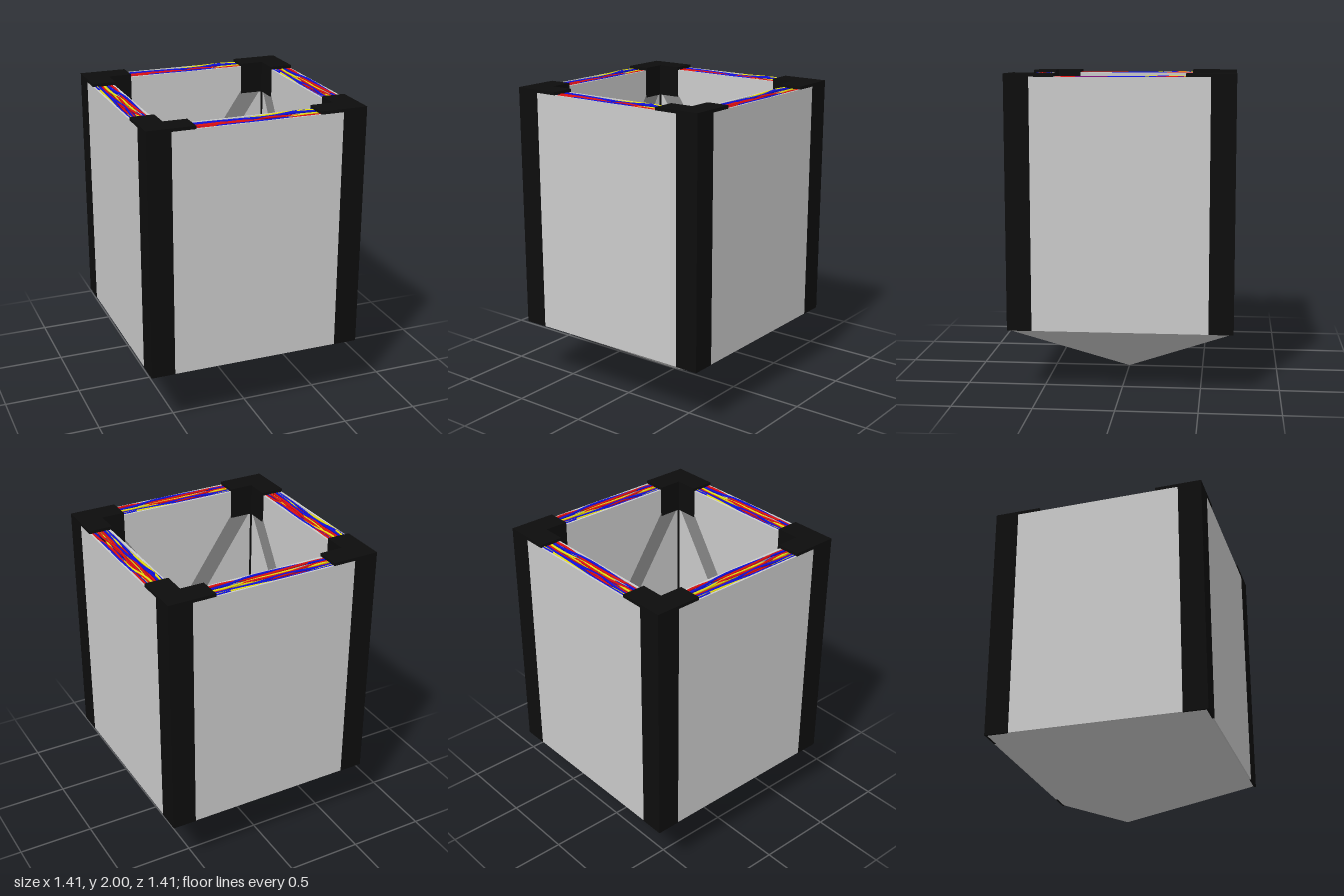
import * as THREE from 'three';

const grey = new THREE.MeshStandardMaterial({ color: 0xcccccc });
const greyThin = new THREE.MeshStandardMaterial({ color: 0xcccccc, side: THREE.DoubleSide, flatShading: true });
const brace = new THREE.MeshStandardMaterial({ color: 0x878787, side: THREE.DoubleSide });
const black = new THREE.MeshStandardMaterial({ color: 0x0d0d0d });
const wireMaterials = [0xe8e010, 0x1010e0, 0xe01010].map(color => new THREE.MeshStandardMaterial({ color }));

const BASE = 0.405, RIM = 1.98, TOP = 2;

function add(parent, name, geometry, material, x = 0, y = 0, z = 0) {
  const mesh = new THREE.Mesh(geometry, material);
  mesh.name = name;
  mesh.position.set(x, y, z);
  parent.add(mesh);
  return mesh;
}

function polygon(points) {
  return new THREE.Shape(points.map(([x, y]) => new THREE.Vector2(x, y)));
}

// L-shaped slab lying flat, running from y0 to y1
function angleSlab(inner, outer, reach, y0, y1) {
  const shape = polygon([
    [outer, outer], [reach, outer], [reach, inner],
    [inner, inner], [inner, reach], [outer, reach],
  ]);
  const geometry = new THREE.ExtrudeGeometry(shape, { depth: y1 - y0, bevelEnabled: false });
  return geometry.rotateX(-Math.PI / 2).translate(0, y0, 0);
}

function seeded(seed) {
  return () => (seed = (seed * 16807) % 2147483647) / 2147483647;
}

// Bundle of gently crossing wires along x, centred on the cavity
function makeWires() {
  const group = new THREE.Group();
  group.name = 'wireBundle';
  const random = seeded(4211);
  const colours = [0, 1, 1, 2, 2, 0, 2, 1];
  for (let layer = 0; layer < 3; layer++) {
    for (let i = 0; i < 8; i++) {
      const points = [];
      for (let k = 0; k <= 5; k++) {
        const z = -0.051 + i * 0.0146 + (random() - 0.5) * 0.036;
        points.push(new THREE.Vector3(
          -0.54 + k * 0.216,
          1.972 - layer * 0.018 + (random() - 0.5) * 0.016,
          THREE.MathUtils.clamp(z, -0.053, 0.053)));
      }
      const path = new THREE.CatmullRomCurve3(points);
      add(group, 'wire', new THREE.TubeGeometry(path, 24, 0.0075, 6), wireMaterials[colours[(i + layer * 3) % 8]]);
    }
  }
  return group;
}

export function createModel() {
  const model = new THREE.Group();

  // Four double walls with crossed braces on the inside
  const height = RIM - BASE, middle = (RIM + BASE) / 2;
  const outerPanel = new THREE.BoxGeometry(1.12, height, 0.012);
  const innerPanel = new THREE.BoxGeometry(1.12, height, 0.015);
  const cavityLining = new THREE.BoxGeometry(1.1, 0.01, 0.114);
  const strip = s => new THREE.ShapeGeometry(polygon([
    [-0.55 * s, 1.81], [-0.4 * s, 1.81], [0.55 * s, BASE], [0.4 * s, BASE],
  ]));
  const strips = [strip(1), strip(-1)];

  // Corner post and its cap
  const post = new THREE.BoxGeometry(0.155, TOP - BASE - 0.005, 0.155);
  const cap = angleSlab(0.553, 0.706, 0.4, RIM, TOP);
  const capLip = angleSlab(0.553, 0.568, 0.4, 1.79, TOP - 0.002);

  for (let i = 0; i < 4; i++) {
    const wall = new THREE.Group();
    wall.name = 'wall';
    add(wall, 'outerPanel', outerPanel, grey, 0, middle, -0.697);
    add(wall, 'innerPanel', innerPanel, grey, 0, middle, -0.5685);
    add(wall, 'cavityLining', cavityLining, black, 0, 1.915, -0.633);
    strips.forEach(g => add(wall, 'crossBrace', g, brace, 0, 0, -0.5585));
    wall.rotation.y = i * Math.PI / 2;
    model.add(wall);

    const corner = new THREE.Group();
    corner.name = 'corner';
    add(corner, 'cornerPost', post, black, 0.6285, (TOP + BASE - 0.005) / 2, -0.6285);
    add(corner, 'cornerCap', cap, black);
    add(corner, 'capLip', capLip, black);
    corner.rotation.y = i * Math.PI / 2;
    model.add(corner);
  }

  // Wires resting in the cavities
  const bundle = makeWires();
  for (const side of [-1, 1]) {
    const lengthwise = bundle.clone();
    lengthwise.position.z = side * 0.633;
    const crosswise = bundle.clone();
    crosswise.rotation.y = Math.PI / 2;
    crosswise.position.x = side * 0.633;
    model.add(lengthwise, crosswise);
  }

  // Hollow pyramid floor pointing down
  const floor = new THREE.ConeGeometry(0.692 * Math.SQRT2, BASE, 4, 1, true);
  floor.rotateY(Math.PI / 4).rotateX(Math.PI);
  add(model, 'pyramidFloor', floor, greyThin, 0, BASE / 2, 0);

  return model;
}
